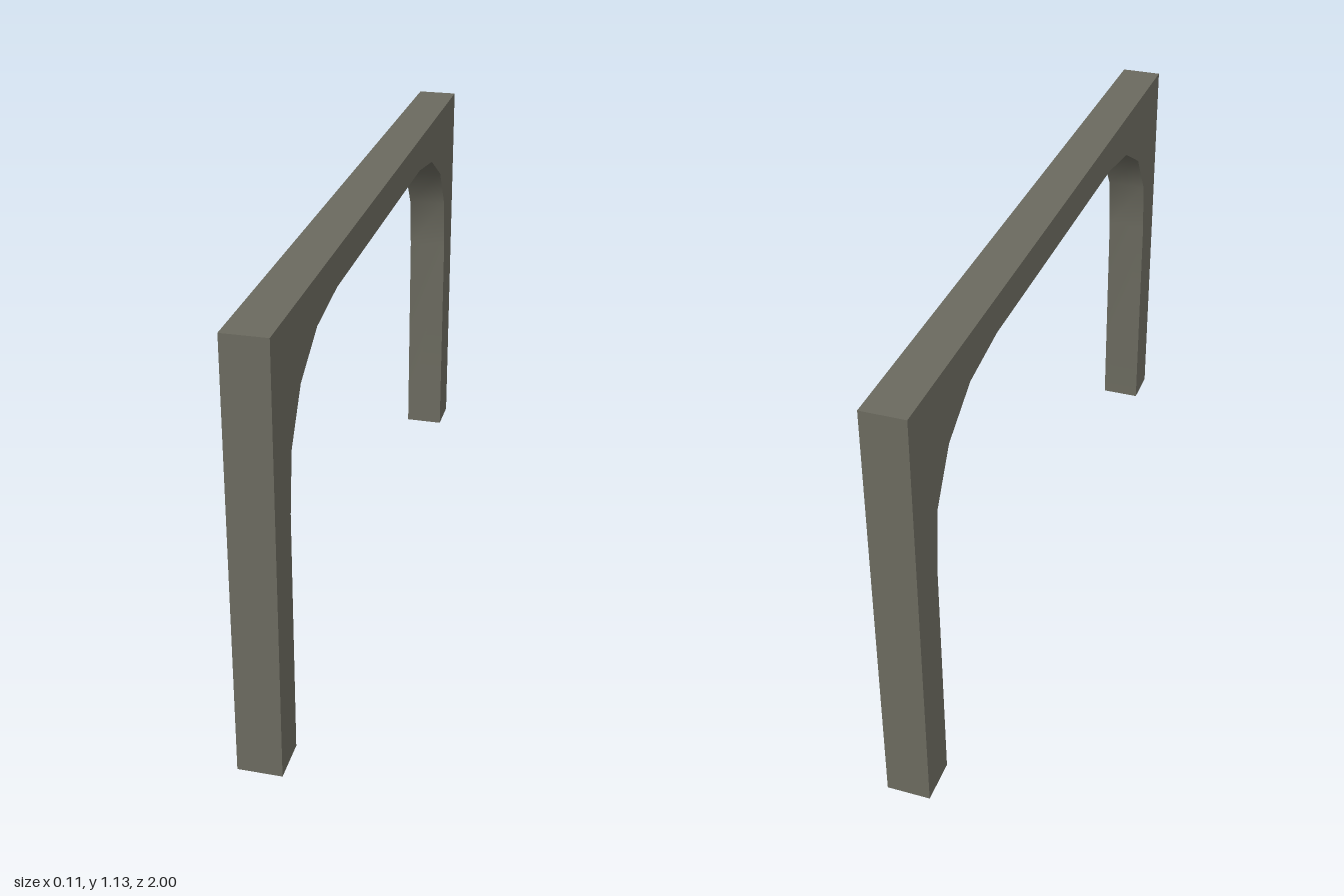
import * as THREE from 'three';
import { toCreasedNormals } from 'three/addons/utils/BufferGeometryUtils.js';

export function createModel() {
  const group = new THREE.Group();
  group.name = 'archway';
  const stone = new THREE.MeshStandardMaterial({ color: 0x6b6a5f });
  stone.name = 'grey stone';

  const height = 1.13;
  const thickness = 0.112;

  // Half of the arch opening, from the foot up to the lintel
  const half = [[0.885, 0], [0.885, 0.65], [0.867, 0.803], [0.787, 0.928], [0.648, 1.008], [0.47, 1.035]];
  const mirrored = half.map(([z, y]) => [-z, y]).reverse();

  // Whole frame outline: outer rectangle, then the opening
  const outline = [[-1, 0], ...mirrored.slice().reverse(), ...half.slice().reverse(), [1, 0], [1, height], [-1, height]];
  const shape = new THREE.Shape(outline.map(([z, y]) => new THREE.Vector2(z, y)));

  const geometry = new THREE.ExtrudeGeometry(shape, { depth: thickness, bevelEnabled: false });
  geometry.translate(0, 0, -thickness / 2);
  geometry.rotateY(-Math.PI / 2);

  // Soft shading along the arch, sharp corners elsewhere
  const frame = new THREE.Mesh(toCreasedNormals(geometry, Math.PI / 5), stone);
  frame.name = 'archFrame';
  group.add(frame);
  return group;
}
